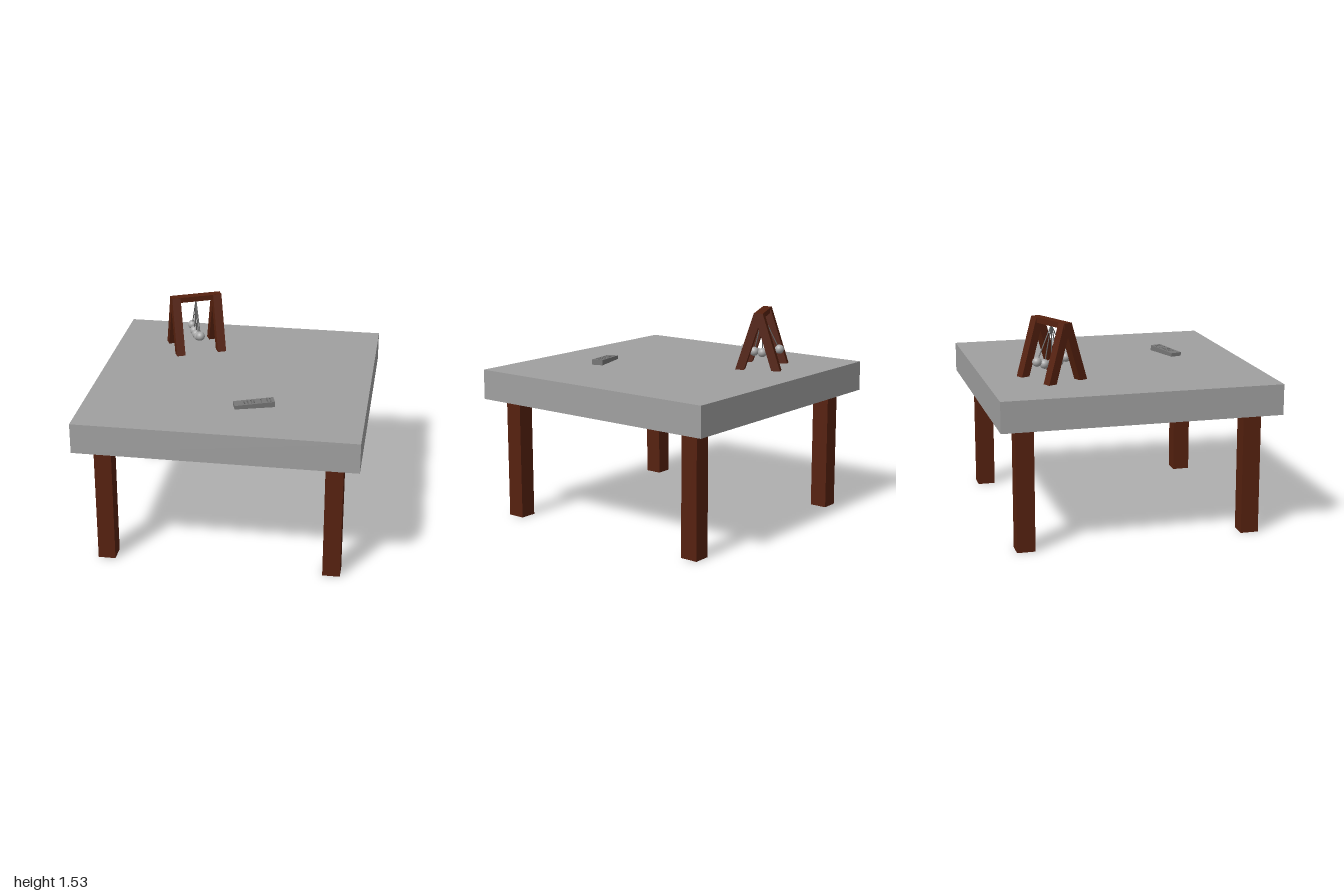
import * as THREE from 'three';

const mat = (name, color) => {
  const m = new THREE.MeshStandardMaterial({ color });
  m.name = name;
  return m;
};

export function createModel() {
  const wood = mat('dark wood', 0x56210f);
  const stone = mat('grey top', 0xa0a0a0);
  const steel = mat('steel', 0xa8a8a8);
  const wire = mat('wire', 0x646464);
  const plastic = mat('grey plastic', 0x777777);
  const dark = mat('button grey', 0x606060);

  const model = new THREE.Group();
  model.name = 'tableWithDeskToy';

  const add = (parent, name, geometry, material, x = 0, y = 0, z = 0) => {
    const mesh = new THREE.Mesh(geometry, material);
    mesh.name = name;
    mesh.position.set(x, y, z);
    parent.add(mesh);
    return mesh;
  };
  // Outline in the xy plane, extruded along z and centred on it
  const prism = (points, depth) =>
    new THREE.ExtrudeGeometry(new THREE.Shape(points.map(p => new THREE.Vector2(...p))),
      { depth, bevelEnabled: false }).translate(0, 0, -depth / 2);

  // Table
  const topY = 1.115;
  add(model, 'tableTop', new THREE.BoxGeometry(2, 0.22, 2), stone, 0, topY - 0.11, 0);
  for (const x of [-0.807, 0.822])
    for (const z of [-0.815, 0.82])
      add(model, 'tableLeg', new THREE.BoxGeometry(0.125, 0.895, 0.13), wood, x, 0.4475, z);

  // Swinging ball toy: two A-frames joined by a beam
  const toy = new THREE.Group();
  toy.name = 'swingingBallToy';
  toy.position.set(-0.39, topY, -0.519);
  toy.rotation.y = THREE.MathUtils.degToRad(24.5);
  model.add(toy);
  add(toy, 'beam', new THREE.BoxGeometry(0.39, 0.04, 0.066), wood, 0, 0.4, 0);
  const footOutline = [[0.102, 0], [0.167, 0], [0.033, 0.419], [-0.032, 0.419]];
  for (const x of [-0.161, 0.161])
    for (const turn of [-1, 1]) {
      const leg = add(toy, 'frameLeg', prism(footOutline, 0.065), wood, x, 0, 0);
      leg.rotation.y = turn * Math.PI / 2;
    }

  // Balls hanging on wires that fan out from the beam
  const pivot = new THREE.Vector3(0, 0.38, 0);
  const length = 0.28;
  for (const swing of [-0.128, -0.062, 0, 0.062, 0.128]) {
    const end = new THREE.Vector3(0, 0.38 - Math.sqrt(length ** 2 - swing ** 2), swing);
    add(toy, 'ball', new THREE.SphereGeometry(0.034, 24, 16), steel, end.x, end.y, end.z);
    const line = add(toy, 'wire', new THREE.CylinderGeometry(0.004, 0.004, length, 8), wire);
    line.position.copy(pivot).add(end).multiplyScalar(0.5);
    line.quaternion.setFromUnitVectors(new THREE.Vector3(0, 1, 0),
      pivot.clone().sub(end).normalize());
  }

  // Remote control: a shallow wedge with small buttons
  const remote = new THREE.Group();
  remote.name = 'remoteControl';
  remote.position.set(0.21, topY, 0.508);
  remote.rotation.y = THREE.MathUtils.degToRad(17);
  model.add(remote);
  add(remote, 'remoteBody',
    prism([[-0.144, 0], [0.144, 0], [0.144, 0.04], [-0.144, 0.027]], 0.084), plastic);
  for (const x of [-0.07, -0.045, -0.02, 0.0, 0.05, 0.095, 0.115])
    for (const z of [-0.02, 0, 0.02])
      add(remote, 'button', new THREE.BoxGeometry(0.009, 0.004, 0.009), dark,
        x, 0.0335 + x * 0.045, z);

  return model;
}
